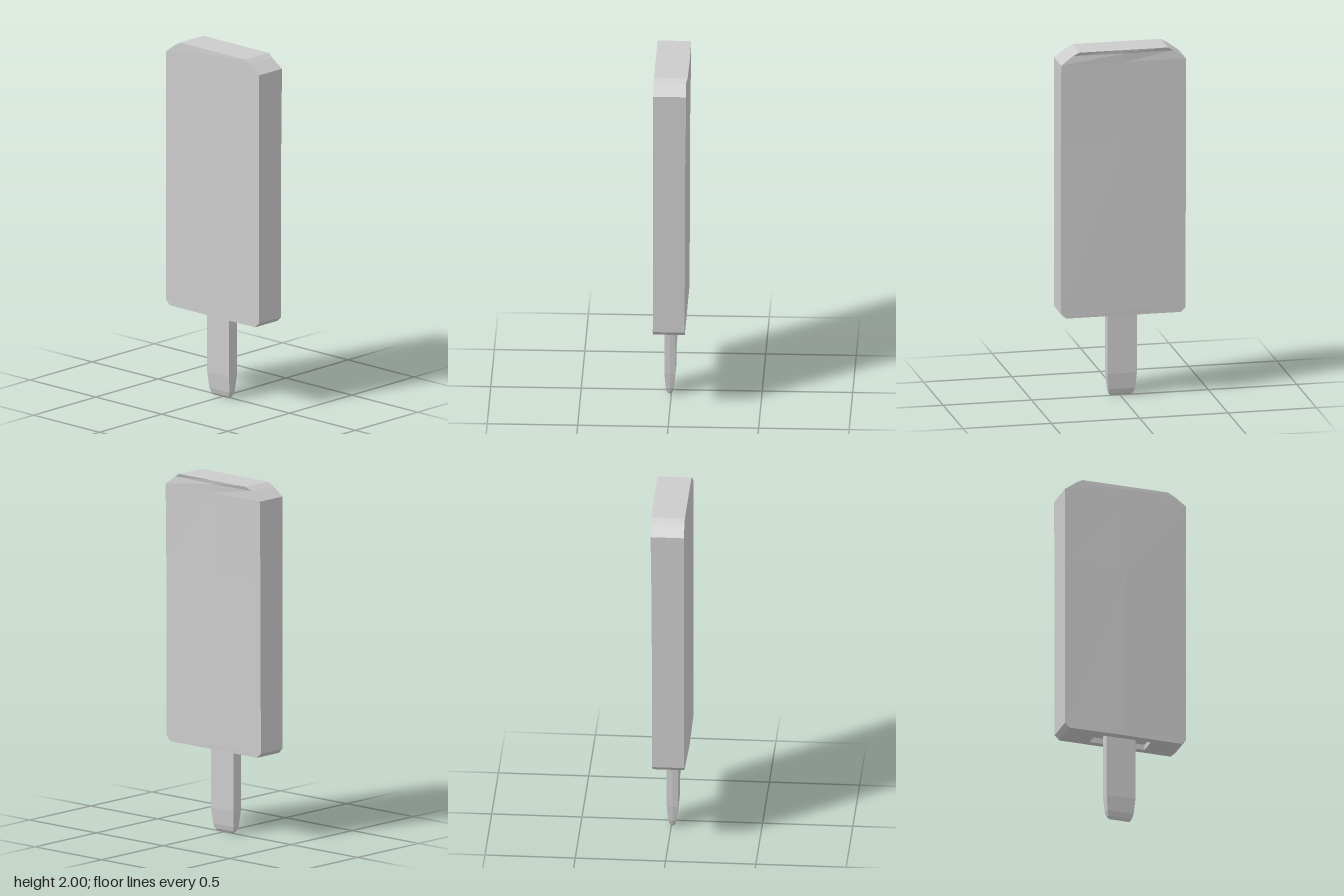
import * as THREE from 'three';

const material = new THREE.MeshStandardMaterial({ color: 0xcccccc, flatShading: true });

// Skins a stack of equal-length rings ([x, y, z] corners) and caps both ends.
function loft(name, rings) {
  const n = rings[0].length;
  const index = [];
  for (let i = 0; i < rings.length - 1; i++) {
    for (let j = 0; j < n; j++) {
      const k = (j + 1) % n;
      const a = i * n + j, b = i * n + k, c = b + n, d = a + n;
      index.push(a, b, c, a, c, d);
    }
  }
  const last = (rings.length - 1) * n;
  for (let j = 1; j < n - 1; j++) {
    index.push(0, j + 1, j);
    index.push(last, last + j, last + j + 1);
  }
  const geometry = new THREE.BufferGeometry();
  geometry.setAttribute('position', new THREE.Float32BufferAttribute(rings.flat(2), 3));
  geometry.setIndex(index);
  const flat = geometry.toNonIndexed();
  flat.computeVertexNormals();
  const mesh = new THREE.Mesh(flat, material);
  mesh.name = name;
  return mesh;
}

// Body section: half width, front edge, front middle, back edge, back middle.
const slab = ([y, w, front, frontMid, back, backMid]) => [
  [-w, y, front], [0, y, frontMid], [w, y, front],
  [w, y, back], [0, y, backMid], [-w, y, back],
];

// Stick section: half width and half thickness, with a slight ridge down each side.
const blade = ([y, w, t]) => {
  const x = -0.007, z = 0.007, s = w - 0.004;
  return [
    [x - s, y, z + t], [x + s, y, z + t], [x + w, y, z],
    [x + s, y, z - t], [x - s, y, z - t], [x - w, y, z],
  ];
};

export function createModel() {
  const group = new THREE.Group();
  group.name = 'icePop';

  // Frozen body: shallow recess underneath, bevelled corners, dented back top corners
  group.add(loft('iceBody', [
    [0.51, 0.16, 0.055, 0.055, -0.05, -0.05],
    [0.478, 0.16, 0.055, 0.055, -0.05, -0.05],
    [0.478, 0.325, 0.092, 0.097, -0.085, -0.085],
    [0.505, 0.353, 0.091, 0.097, -0.085, -0.086],
    [1.48, 0.353, 0.09, 0.094, -0.088, -0.09],
    [1.93, 0.353, 0.09, 0.091, -0.094, -0.094],
    [1.98, 0.285, 0.089, 0.09, -0.089, -0.096],
    [2.0, 0.25, 0.088, 0.088, -0.098, -0.1],
  ].map(slab)));

  // Stick tapering to a rounded tip
  group.add(loft('stick', [
    [0, 0.06, 0.005],
    [0.012, 0.071, 0.014],
    [0.04, 0.08, 0.022],
    [0.13, 0.088, 0.031],
    [0.52, 0.088, 0.031],
  ].map(blade)));

  return group;
}
